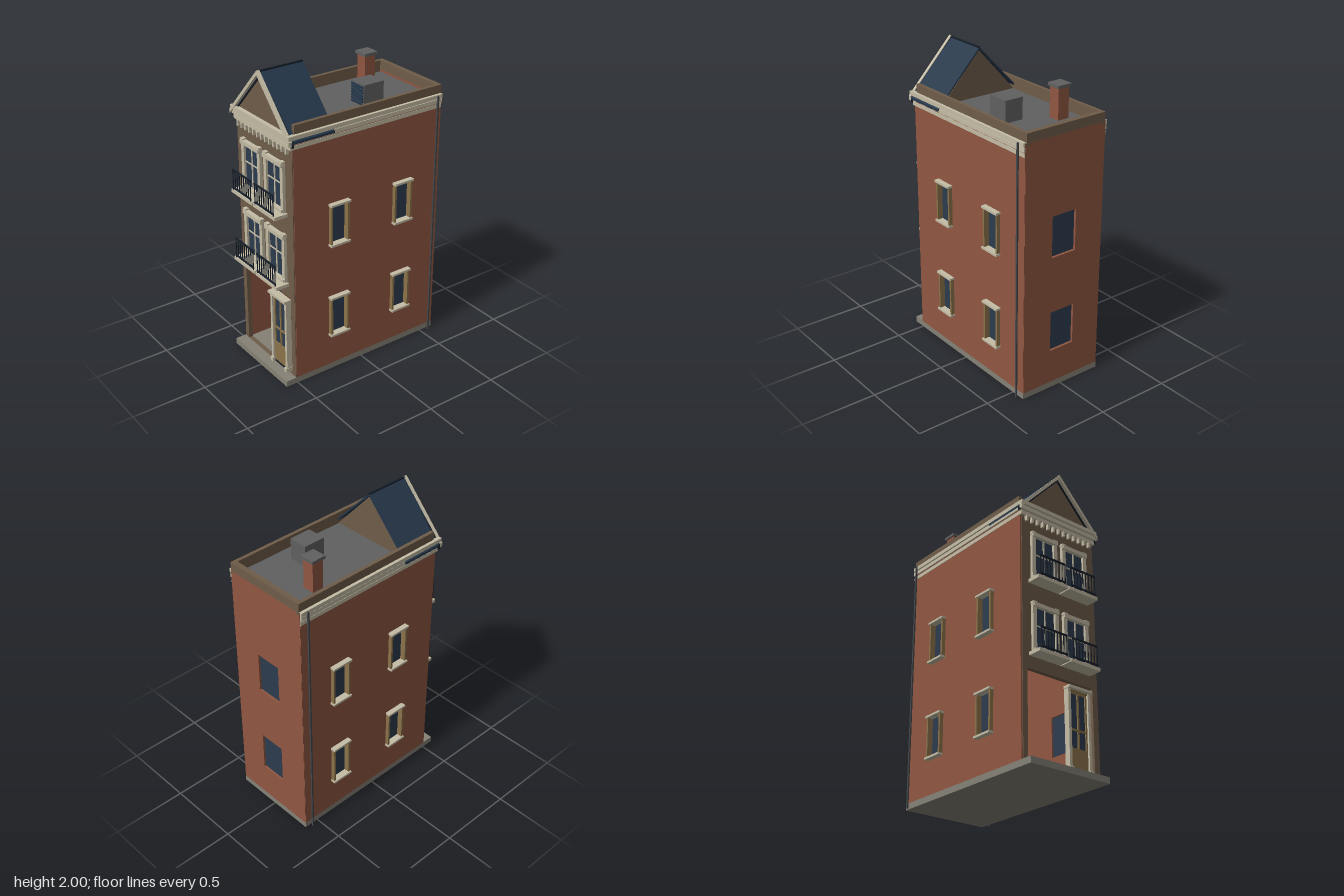
import * as THREE from 'three';

const mat = (name, color) => {
  const m = new THREE.MeshStandardMaterial({ color });
  m.name = name;
  return m;
};

export function createModel() {
  const brick = mat('brick', 0x905641);
  const stone = mat('brownStone', 0x6f5c49);
  const cream = mat('creamTrim', 0xc4bca5);
  const slate = mat('slateBlue', 0x25374a);
  const glass = mat('glass', 0x2c3b4e);
  const iron = mat('iron', 0x171f2a);
  const wood = mat('wood', 0x8b734a);
  const paving = mat('paving', 0x858176);
  const deck = mat('roofDeck', 0x606060);
  const pipe = mat('pipeGrey', 0x45484b);

  const house = new THREE.Group();
  house.name = 'townhouse';

  const add = (name, geo, material, parent = house) => {
    const m = new THREE.Mesh(geo, material);
    m.name = name;
    parent.add(m);
    return m;
  };
  // Box given by its limits on each axis
  const box = (name, material, x0, x1, y0, y1, z0, z1, parent) => {
    const g = new THREE.BoxGeometry(x1 - x0, y1 - y0, z1 - z0);
    g.translate((x0 + x1) / 2, (y0 + y1) / 2, (z0 + z1) / 2);
    return add(name, g, material, parent);
  };
  const group = (name, x = 0, y = 0, z = 0) => {
    const g = new THREE.Group();
    g.name = name;
    g.position.set(x, y, z);
    house.add(g);
    return g;
  };
  const rect = (T, x0, x1, y0, y1) => {
    const s = new T();
    s.moveTo(x0, y0);
    s.lineTo(x1, y0);
    s.lineTo(x1, y1);
    s.lineTo(x0, y1);
    s.closePath();
    return s;
  };
  // Flat wall with rectangular holes
  const wall = (x0, x1, y0, y1, holes, depth) => {
    const s = rect(THREE.Shape, x0, x1, y0, y1);
    holes.forEach(h => s.holes.push(rect(THREE.Path, ...h)));
    return new THREE.ExtrudeGeometry(s, { depth, bevelEnabled: false });
  };

  // Ground slab and roof deck
  box('groundSlab', paving, -0.3, 0.3, 0, 0.04, -0.6, 0.583);
  box('roofDeck', deck, -0.275, 0.275, 1.65, 1.675, -0.575, 0.49);

  // Brick side walls and their windows
  const levels = [0.26, 0.905];
  const bays = [0.187, -0.301];
  const sideHoles = levels.flatMap(y => bays.map(z => [z - 0.062, z + 0.062, y + 0.012, y + 0.273]));
  for (const s of [1, -1]) {
    const g = wall(-0.598, 0.505, 0.04, 1.69, sideHoles, 0.03);
    g.rotateY(-Math.PI / 2);
    add('sideWall', g, brick).position.x = s > 0 ? 0.3 : -0.27;
    for (const y of levels) for (const z of bays) {
      const w = group('sideWindow', s * 0.3, y, z);
      const part = (name, m, x0, x1, ...r) =>
        box(name, m, Math.min(s * x0, s * x1), Math.max(s * x0, s * x1), ...r, w);
      part('pane', glass, -0.02, -0.012, 0.01, 0.275, -0.063, 0.063);
      part('sill', cream, -0.01, 0.035, 0, 0.014, -0.073, 0.073);
      part('lintel', cream, -0.01, 0.035, 0.271, 0.285, -0.073, 0.073);
      for (const e of [-0.062, 0.062])
        part('jamb', wood, -0.02, 0.025, 0.012, 0.273, e - 0.007, e + 0.007);
    }
    // Drainpipe
    box('drainpipe', pipe, s * 0.32 - 0.005, s * 0.32 + 0.005, 0, 1.69, -0.561, -0.55);
    // Side parapet
    box('sideParapet', stone, s * 0.281 - 0.012, s * 0.281 + 0.012, 1.67, 1.75, -0.6, 0.49);
  }

  // Back wall and its windows
  const backHoles = levels.map(y => [-0.09, 0.09, y + 0.008, y + 0.28]);
  add('backWall', wall(-0.298, 0.298, 0.04, 1.69, backHoles, 0.03), brick).position.z = -0.6;
  for (const y of levels) box('backPane', glass, -0.085, 0.085, y + 0.013, y + 0.275, -0.59, -0.582);
  box('backParapet', stone, -0.293, 0.293, 1.69, 1.75, -0.603, -0.57);

  // Front facade with open porch
  add('facade', wall(-0.29, 0.296, 0.04, 1.69, [[-0.255, 0.255, 0.0405, 0.6]], 0.03), stone).position.z = 0.48;

  // Cornice bands
  [[1.605, 1.63, 0.303, 0.525], [1.638, 1.664, 0.309, 0.533], [1.669, 1.695, 0.313, 0.542]].forEach(([y0, y1, x, z]) => {
    box('frontCornice', cream, -x, x, y0, y1, 0.49, z);
    for (const s of [1, -1])
      box('sideCornice', cream, s * (x + 0.29) / 2 - (x - 0.29) / 2, s * (x + 0.29) / 2 + (x - 0.29) / 2, y0, y1, -0.598, z);
  });
  for (let i = 0; i < 13; i++) {
    const x = -0.258 + i * 0.043;
    box('dentil', cream, x - 0.007, x + 0.007, 1.57, 1.607, 0.505, 0.53);
  }

  // Gabled roof: two sloping slabs, pediments and raking trim
  const gable = (half, base, top, depth) => {
    const s = new THREE.Shape([[-half, base], [half, base], [0, top]].map(p => new THREE.Vector2(...p)));
    return new THREE.ExtrudeGeometry(s, { depth, bevelEnabled: false });
  };
  add('frontPediment', gable(0.285, 1.68, 1.975, 0.02), stone).position.z = 0.495;
  add('backPediment', gable(0.285, 1.66, 1.975, 0.02), stone).position.z = 0.235;
  const rake = (s, t, depth) => {
    const pts = [[0, 1.995], [s * 0.318, 1.66], [s * 0.318, 1.66 - t], [0, 1.995 - t]];
    if (s > 0) pts.reverse();
    return new THREE.ExtrudeGeometry(new THREE.Shape(pts.map(p => new THREE.Vector2(...p))), { depth, bevelEnabled: false });
  };
  for (const s of [1, -1]) {
    add('roofSlope', rake(s, 0.014, 0.3), slate).position.z = 0.225;
    add('rakeTrim', rake(s, 0.028, 0.022), cream).position.set(0, 0.005, 0.523);
    add('rakeShadowBoard', rake(s, 0.036, 0.014), iron).position.set(0, 0, 0.51);
  }
  box('ridge', iron, -0.006, 0.006, 1.98, 1.998, 0.225, 0.524);

  // Front windows with balconies
  for (const y of [0.68, 1.155]) for (const x of [-0.122, 0.122]) {
    const w = group('balconyWindow', x, y, 0.51);
    const b = (...a) => box(...a, w);
    b('pane', glass, -0.08, 0.08, 0.03, 0.325, 0, 0.005);
    for (const s of [1, -1]) {
      b('jamb', cream, s * 0.087 - 0.014, s * 0.087 + 0.014, 0.02, 0.33, -0.005, 0.02);
      b('corbel', cream, s * 0.087 - 0.016, s * 0.087 + 0.016, 0.335, 0.353, -0.005, 0.026);
    }
    b('lintel', cream, -0.1, 0.1, 0.318, 0.344, -0.005, 0.03);
    b('sill', cream, -0.1, 0.1, 0.03, 0.045, -0.005, 0.034);
    b('mullion', cream, -0.005, 0.005, 0.03, 0.32, 0, 0.01);
    b('transom', cream, -0.078, 0.078, 0.198, 0.206, 0, 0.01);
    b('balconyFloor', cream, -0.118, 0.118, 0, 0.022, -0.01, 0.092);
    for (const h of [0.036, 0.158]) b('rail', iron, -0.102, 0.102, h - 0.005, h + 0.005, 0.084, 0.092);
    for (let i = 0; i < 9; i++) {
      const p = -0.098 + i * 0.0245;
      b('baluster', iron, p - 0.0025, p + 0.0025, i % 8 ? 0.036 : 0.02, 0.158, 0.0855, 0.0905);
    }
  }

  // Front door
  const d = group('frontDoor', 0.133, 0.04, 0.5);
  box('doorPane', glass, -0.068, 0.068, 0.14, 0.5, -0.004, 0.004, d);
  box('doorPanel', wood, -0.068, 0.068, 0.012, 0.152, -0.01, 0.012, d);
  box('threshold', iron, -0.068, 0.068, 0, 0.014, -0.01, 0.014, d);
  for (const x of [-0.063, 0, 0.063]) box('stile', wood, x - 0.006, x + 0.006, 0.15, 0.5, -0.01, 0.012, d);
  for (const y of [0.265, 0.495]) box('doorRail', wood, -0.068, 0.068, y - 0.006, y + 0.006, -0.01, 0.012, d);
  for (const s of [1, -1]) {
    box('doorPost', cream, s * 0.078 - 0.01, s * 0.078 + 0.01, 0, 0.52, -0.012, 0.025, d);
    box('postBase', cream, s * 0.078 - 0.013, s * 0.078 + 0.013, 0, 0.03, -0.012, 0.034, d);
  }
  box('doorLintel', wood, -0.07, 0.07, 0.5, 0.512, -0.012, 0.02, d);
  box('doorHood', cream, -0.092, 0.092, 0.51, 0.528, -0.012, 0.04, d);

  // Chimney
  box('chimney', brick, -0.187, -0.108, 1.67, 1.875, -0.398, -0.32);
  box('chimneyCap', deck, -0.197, -0.098, 1.873, 1.892, -0.408, -0.31);

  // Roof vent unit with louvres
  box('ventUnit', deck, 0.04, 0.167, 1.67, 1.815, -0.25, -0.102);
  for (let i = 0; i < 7; i++)
    box('louvre', slate, 0.048, 0.159, 1.685 + i * 0.018, 1.697 + i * 0.018, -0.104, -0.094);

  return house;
}
